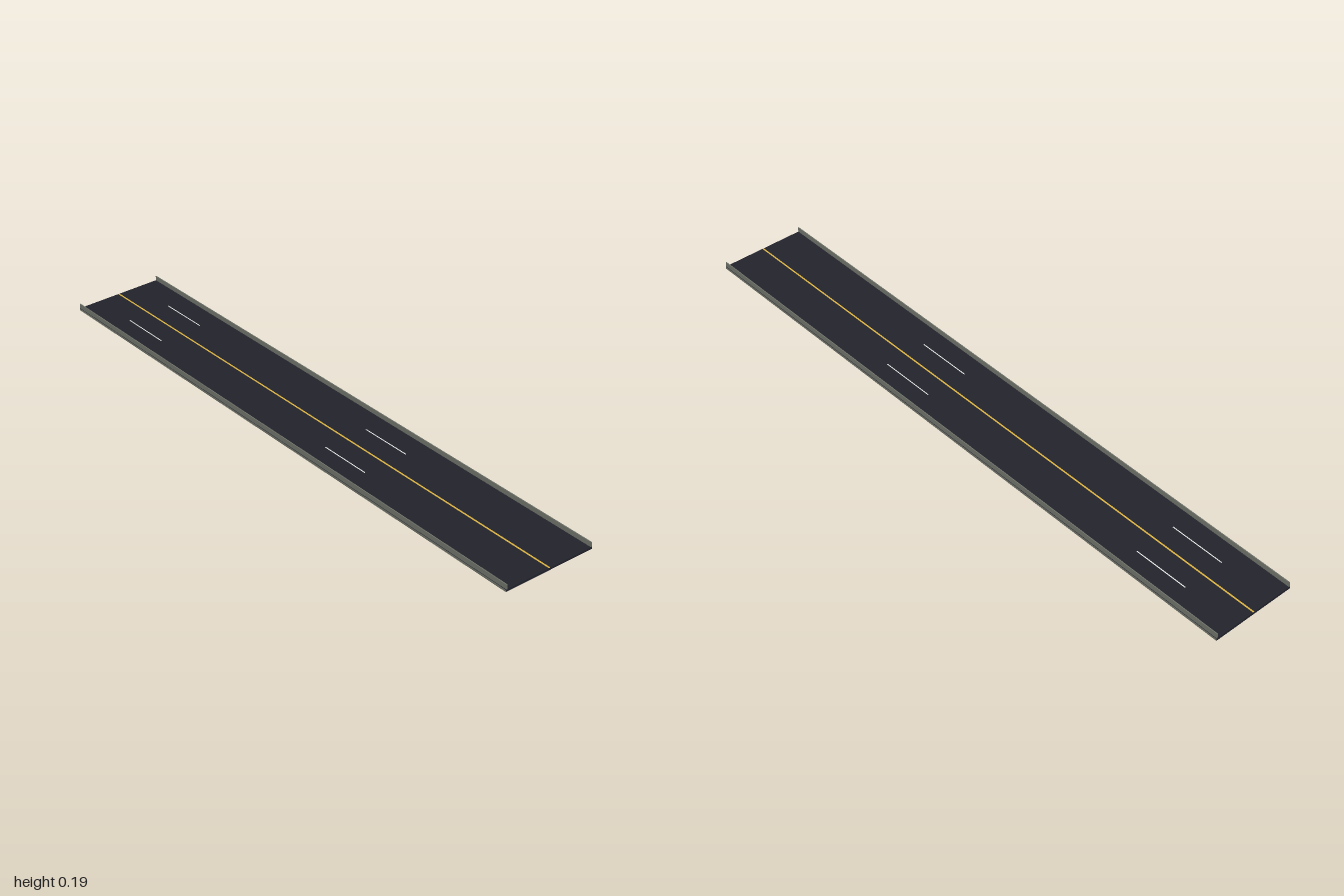
import * as THREE from 'three';

const mat = (name, color) => {
  const m = new THREE.MeshStandardMaterial({ color });
  m.name = name;
  return m;
};

export function createModel() {
  const concrete = mat('concrete', 0x6b7066);
  const asphalt = mat('asphalt', 0x22222c);
  const yellow = mat('yellowPaint', 0xd8b040);
  const white = mat('whitePaint', 0xe8e8e8);

  const model = new THREE.Group();
  model.name = 'rampRoad';
  const base = x => 0.085 * (x + 1); // underside height of the sloping deck

  // Box sheared along the slope, so that its ends stay vertical
  const sloped = (name, material, x0, x1, lift, height, z, depth) => {
    const geo = new THREE.BoxGeometry(x1 - x0, height, depth);
    geo.translate((x0 + x1) / 2, lift + height / 2, z);
    const p = geo.attributes.position;
    for (let i = 0; i < p.count; i++) p.setY(i, p.getY(i) + base(p.getX(i)));
    geo.computeVertexNormals();
    const mesh = new THREE.Mesh(geo, material);
    mesh.name = name;
    model.add(mesh);
  };

  // Deck: asphalt top and ends, concrete sides and underside
  sloped('deck', [asphalt, asphalt, asphalt, concrete, concrete, concrete], -1, 1, 0, 0.007, 0, 0.289);

  // Low side barriers and dashed lane lines, mirrored
  for (const s of [-1, 1]) {
    sloped('barrier', concrete, -1, 1, 0.007, 0.015, s * 0.1415, 0.003);
    for (const x of [-0.825, 0.17]) sloped('laneDash', white, x, x + 0.175, 0.007, 0.0006, s * 0.071, 0.003);
  }

  // Centre line
  sloped('centreLine', yellow, -1, 1, 0.007, 0.0006, 0, 0.005);

  // Pillars, taller towards the high end
  for (const x of [-0.42, 0.1, 0.617]) {
    const top = base(x), bottom = 0.01;
    const pillar = new THREE.Mesh(new THREE.BoxGeometry(0.04, top - bottom, 0.048), concrete);
    pillar.name = 'pillar';
    pillar.position.set(x, (top + bottom) / 2, 0);
    model.add(pillar);
  }
  return model;
}
